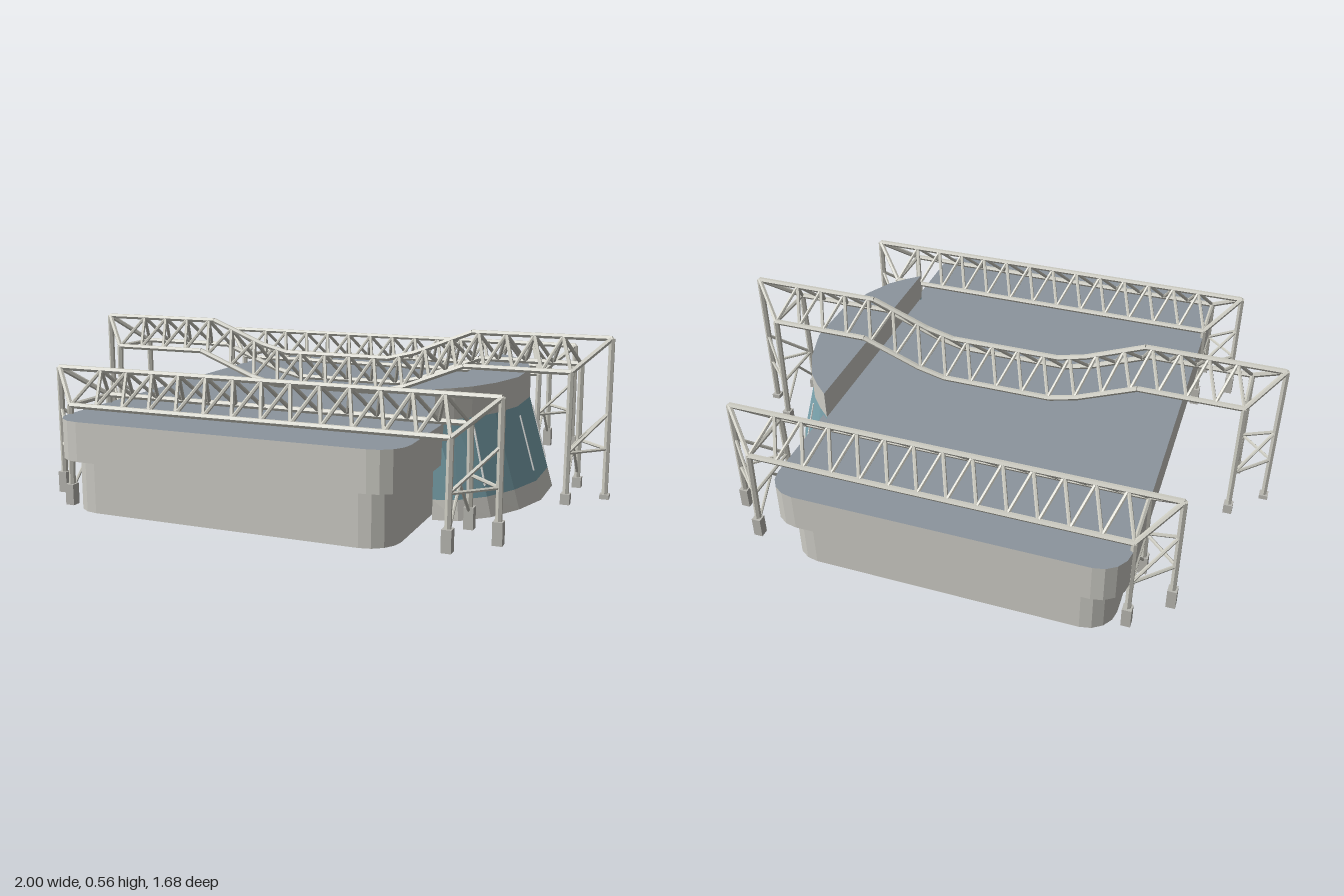
import * as THREE from 'three';

const mat = (name, color, side = THREE.FrontSide) => {
  const m = new THREE.MeshStandardMaterial({ color, side, flatShading: true });
  m.name = name;
  return m;
};

export function createModel() {
  const wallMat = mat('pale wall', 0xcdccc5, THREE.DoubleSide);
  const roofMat = mat('slate roof', 0x8c959d, THREE.DoubleSide);
  const glassMat = mat('teal glass', 0x7ba4ae, THREE.DoubleSide);
  const steelMat = mat('pale steel', 0xcbcac0);
  const padMat = mat('concrete footing', 0xb9b8b2);
  const mullionMat = mat('white mullion', 0xe6e8e6);

  const model = new THREE.Group();
  const add = (parent, name, geo, material) => {
    const mesh = new THREE.Mesh(geo, material);
    mesh.name = name;
    parent.add(mesh);
    return mesh;
  };
  const group = (parent, name) => {
    const g = new THREE.Group();
    g.name = name;
    parent.add(g);
    return g;
  };
  const V = (x, y, z) => new THREE.Vector3(x, y, z);

  // Wall strip between two outlines of [x, z] points
  function strip(lower, y0, upper, y1, closed) {
    const pos = [];
    const n = lower.length;
    for (let i = 0; i < (closed ? n : n - 1); i++) {
      const j = (i + 1) % n;
      const a = [lower[i][0], y0, lower[i][1]], b = [lower[j][0], y0, lower[j][1]];
      const c = [upper[j][0], y1, upper[j][1]], d = [upper[i][0], y1, upper[i][1]];
      pos.push(...a, ...c, ...b, ...a, ...d, ...c);
    }
    const g = new THREE.BufferGeometry();
    g.setAttribute('position', new THREE.Float32BufferAttribute(pos, 3));
    g.computeVertexNormals();
    return g;
  }
  // Horizontal slab face, optionally with a hole
  function flat(points, y, hole) {
    const toV = (p) => p.map(([x, z]) => new THREE.Vector2(x, -z));
    const s = new THREE.Shape(toV(points));
    if (hole) s.holes.push(new THREE.Path(toV(hole)));
    return new THREE.ShapeGeometry(s).rotateX(-Math.PI / 2).translate(0, y, 0);
  }
  function roundedOutline(x0, x1, hz, r) {
    const pts = [];
    const corners = [[x1 - r, hz - r], [x0 + r, hz - r], [x0 + r, r - hz], [x1 - r, r - hz]];
    corners.forEach(([cx, cz], k) => {
      for (let i = 0; i <= 4; i++) {
        const a = (k + i / 4) * Math.PI / 2;
        pts.push([cx + r * Math.cos(a), cz + r * Math.sin(a)]);
      }
    });
    return pts;
  }

  // Main hall: recessed base, overhanging upper band, flat roof, open below
  const hall = group(model, 'hall');
  const base = roundedOutline(-0.61, 0.497, 0.803, 0.1);
  const band = roundedOutline(-0.647, 0.535, 0.84, 0.1);
  add(hall, 'baseWall', strip(base, 0, base, 0.175, true), wallMat);
  add(hall, 'upperWall', strip(band, 0.175, band, 0.305, true), wallMat);
  add(hall, 'soffit', flat(band, 0.175, base), wallMat);
  add(hall, 'roof', flat(band, 0.305), roofMat);

  // Bowed, leaning glass entrance
  const entrance = group(model, 'entrance');
  const mirrored = (half) => [...half.map(([x, z]) => [x, -z]).reverse(), ...half];
  const footLine = mirrored([[0.788, 0.1], [0.745, 0.24], [0.68, 0.36], [0.595, 0.44], [0.515, 0.46]]);
  const headLine = mirrored([[0.698, 0.1], [0.657, 0.24], [0.605, 0.34], [0.56, 0.39], [0.51, 0.435]]);
  const headY = 0.315;
  const lineAt = (y) => footLine.map(([x, z], i) => [
    x + (headLine[i][0] - x) * y / headY, z + (headLine[i][1] - z) * y / headY]);
  const sill = lineAt(0.065);
  add(entrance, 'plinth', strip(footLine, 0, sill, 0.065), wallMat);
  add(entrance, 'glazing', strip(sill, 0.065, headLine, headY), glassMat);
  add(entrance, 'fascia', strip(headLine, headY, headLine, 0.415, true), wallMat);
  add(entrance, 'entranceRoof', flat(headLine, 0.415), roofMat);

  // Round steel member between two points
  function bar(parent, name, a, b, r, material = steelMat) {
    const dir = b.clone().sub(a);
    const mesh = add(parent, name, new THREE.CylinderGeometry(r, r, dir.length(), 6), material);
    mesh.position.copy(a).addScaledVector(dir, 0.5);
    mesh.quaternion.setFromUnitVectors(V(0, 1, 0), dir.normalize());
  }
  for (const i of [2, 4, 5, 7]) {
    const lo = lineAt(0.1)[i], hi = lineAt(0.285)[i];
    bar(entrance, 'mullion', V(lo[0], 0.1, lo[1]), V(hi[0], 0.285, hi[1]), 0.004, mullionMat);
  }

  // Triangular truss on a three-legged tower at each end
  function gantry(name, zc, o) {
    const g = group(model, name);
    g.position.z = zc;
    const { rise, apexX, legX, hw, bays, padH, apexPadH } = o;
    const depth = 0.105;
    const bottom = (x, s) => V(x, rise(x) - depth, s * hw);
    const top = (x) => V(x, rise(x), 0);

    // Chords follow the rise curve
    const breaks = o.breaks;
    const path = (ends) => [-ends, ...breaks.map((b) => -b), ...[...breaks].reverse(), ends];
    const chord = (label, xs, at) => {
      for (let i = 0; i < xs.length - 1; i++) bar(g, label, at(xs[i]), at(xs[i + 1]), 0.01);
    };
    chord('topChord', path(apexX), top);
    for (const s of [-1, 1]) {
      chord('bottomChord', path(legX), (x) => bottom(x, s));
      // Zigzag web
      const step = 2 * legX / bays;
      for (let i = 0; i < bays; i++) {
        const x = -legX + i * step;
        bar(g, 'web', bottom(x, s), top(x + step / 2), 0.0065);
        bar(g, 'web', top(x + step / 2), bottom(x + step, s), 0.0065);
      }
    }

    // End towers
    for (const e of [-1, 1]) {
      const head = top(e * apexX);
      const foot = V(e * apexX, 0, 0);
      const footing = (p, h) => add(g, 'footing', new THREE.BoxGeometry(0.031, h, 0.031), padMat)
        .position.set(p.x, h / 2, p.z);
      bar(g, 'endLeg', foot, head, 0.011);
      footing(foot, apexPadH);
      const midY = 0.172;
      bar(g, 'headTie', bottom(e * legX, -1), bottom(e * legX, 1), 0.008);
      const sideAt = (y, s) => V(e * legX, y, s * (hw + 0.012 * (1 - y / head.y)));
      bar(g, 'crossTie', sideAt(midY, -1), sideAt(midY, 1), 0.006);
      for (const s of [-1, 1]) {
        const sideHead = bottom(e * legX, s);
        const sideFoot = sideAt(0, s);
        bar(g, 'sideLeg', sideFoot, sideHead, 0.011);
        footing(sideFoot, padH);
        bar(g, 'hipStrut', head, sideHead, 0.009);
        bar(g, 'endTie', V(e * apexX, midY, 0), sideAt(midY, s), 0.006);
        bar(g, 'endBrace', V(e * apexX, 0.295, 0), sideAt(midY, s), 0.006);
        bar(g, 'kneeBrace', V(e * legX, midY, 0), sideAt(0.05, s), 0.005);
      }
    }
  }

  const sideSpec = {
    rise: () => 0.437, breaks: [], apexX: 0.766, legX: 0.647, hw: 0.108,
    bays: 13, padH: 0.07, apexPadH: 0.072,
  };
  // The middle gantry dips over the roof
  const dip = [[0.2, 0.437], [0.3, 0.462], [0.51, 0.546]];
  const middleSpec = {
    rise: (x) => {
      const a = Math.abs(x);
      if (a <= dip[0][0]) return dip[0][1];
      for (let i = 1; i < dip.length; i++) {
        const [x0, y0] = dip[i - 1], [x1, y1] = dip[i];
        if (a <= x1) return y0 + (y1 - y0) * (a - x0) / (x1 - x0);
      }
      return dip[2][1];
    },
    breaks: [0.51, 0.3, 0.2], apexX: 0.984, legX: 0.872, hw: 0.104,
    bays: 18, padH: 0.036, apexPadH: 0.016,
  };
  gantry('frontGantry', 0.62, sideSpec);
  gantry('rearGantry', -0.62, sideSpec);
  gantry('middleGantry', 0, middleSpec);

  return model;
}
